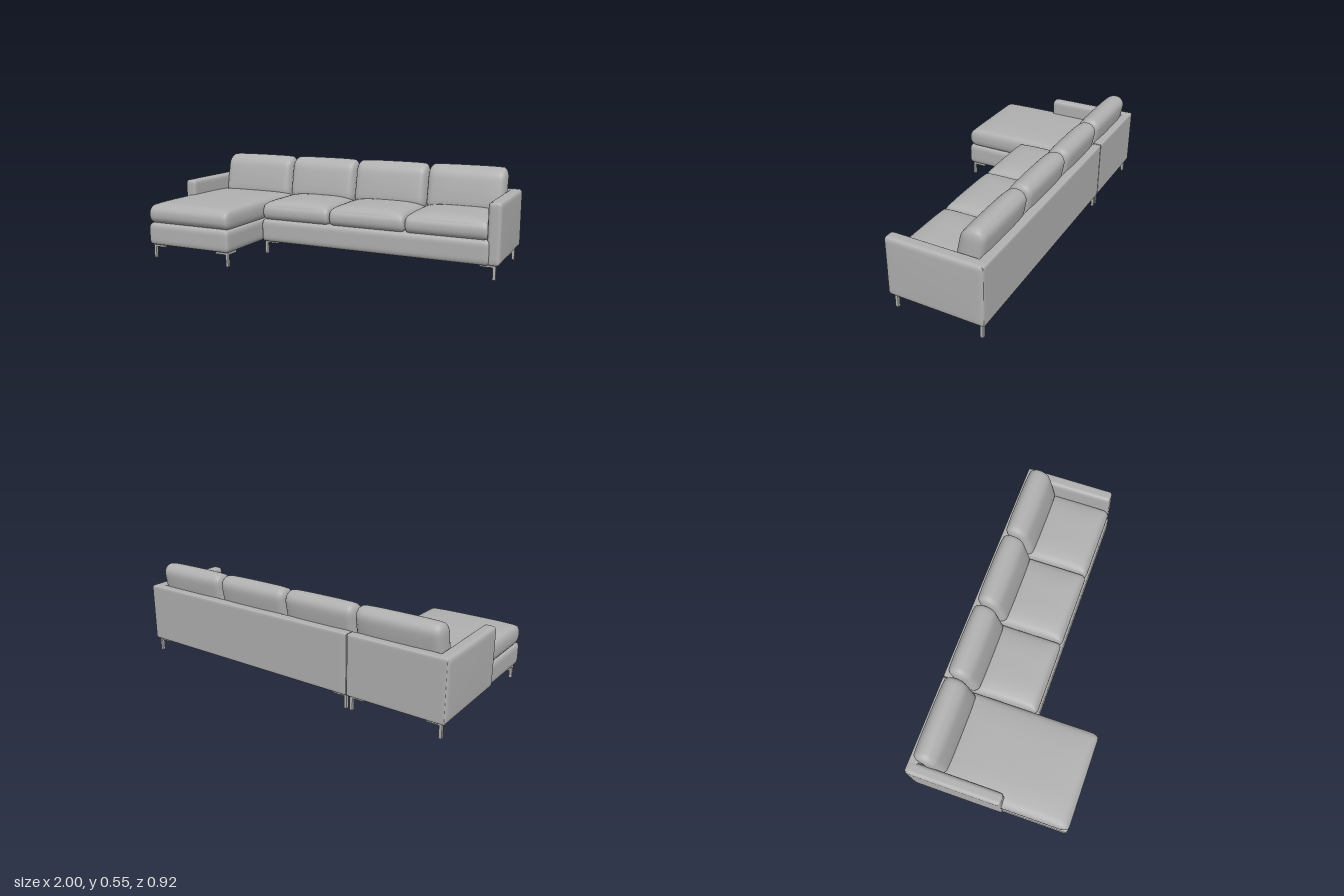
import * as THREE from 'three';
import { mergeVertices } from 'three/addons/utils/BufferGeometryUtils.js';

const upholstery = new THREE.MeshStandardMaterial({ color: 0xb0b0b0 });
upholstery.name = 'grey upholstery';

// Padded block: min/max corners, one rounding radius per axis, optional rule for crown or lean
function padded(name, min, max, radii, rule) {
  const n = 20;
  let geo = new THREE.BoxGeometry(2, 2, 2, n, n, n);
  geo.deleteAttribute('normal');
  geo.deleteAttribute('uv');
  geo = mergeVertices(geo);
  const pos = geo.attributes.position;
  for (let i = 0; i < pos.count; i++) {
    const unit = [pos.getX(i), pos.getY(i), pos.getZ(i)].map(t => Math.sin(t * Math.PI / 2));
    const inner = [], off = [];
    for (let a = 0; a < 3; a++) {
      const half = (max[a] - min[a]) / 2, core = half - radii[a];
      inner[a] = THREE.MathUtils.clamp(unit[a] * half, -core, core);
      off[a] = (unit[a] * half - inner[a]) / radii[a];
    }
    const len = Math.hypot(...off) || 1;
    const p = inner.map((q, a) => (min[a] + max[a]) / 2 + q + radii[a] * off[a] / len);
    if (rule) rule(p, unit);
    pos.setXYZ(i, ...p);
  }
  geo.computeVertexNormals();
  const mesh = new THREE.Mesh(geo, upholstery);
  mesh.name = name;
  return mesh;
}

// Seat crown: raises the top gently towards the middle
const crown = height => (p, [u, v, w]) => {
  if (v > 0) p[1] += height * v * (1 - u ** 4) * (1 - w ** 4);
};

// Back cushion: leans back and swells at the front and rear
const lean = (p, [u, v, w]) => {
  p[2] += -0.2 * (p[1] - 0.42) + 0.012 * w * (1 - u ** 4) * (1 - v * v);
  p[1] += v > 0 ? 0.006 * v * (1 - u ** 4) : 0;
};

// Corner foot: slim post under a gusseted angle bracket pointing inwards
function foot(x, z, sx, sz) {
  const group = new THREE.Group();
  group.name = 'foot';
  const outline = [[0, 0], [0.085, 0], [0.085, 0.014], [0.045, 0.016],
    [0.016, 0.045], [0.014, 0.085], [0, 0.085]];
  const shape = new THREE.Shape(outline.map(([a, b]) =>
    new THREE.Vector2((a - 0.008) * sx, (b - 0.008) * sz)));
  const plate = new THREE.ExtrudeGeometry(shape, { depth: 0.016, bevelEnabled: false });
  plate.rotateX(Math.PI / 2);
  const bracket = new THREE.Mesh(plate, upholstery);
  bracket.name = 'footBracket';
  bracket.position.y = 0.084;
  const post = new THREE.Mesh(new THREE.BoxGeometry(0.016, 0.08, 0.016), upholstery);
  post.name = 'footPost';
  post.position.y = 0.04;
  group.add(bracket, post);
  group.position.set(x, 0, z);
  return group;
}

export function createModel() {
  const sofa = new THREE.Group();
  sofa.name = 'sectionalSofa';

  // Bases
  sofa.add(
    padded('chaiseBase', [-0.99, 0.08, -0.45], [-0.436, 0.212, 0.458], [0.02, 0.035, 0.02]),
    padded('mainBase', [-0.434, 0.08, -0.45], [0.94, 0.215, 0.093], [0.012, 0.035, 0.02]));

  // Back panels, meeting at the joint between the two units
  for (const [x0, x1] of [[-0.99, -0.436], [-0.434, 0.99]]) {
    sofa.add(padded('backPanel', [x0, 0.08, -0.46], [x1, 0.418, -0.405], [0.006, 0.01, 0.01]));
  }

  // Arms
  for (const side of [-1, 1]) {
    const [x0, x1] = side < 0 ? [-0.997, -0.925] : [0.925, 0.997];
    sofa.add(padded('arm', [x0, 0.08, -0.46], [x1, 0.42, 0.082], [0.022, 0.022, 0.018],
      (p, [u, v, w]) => { p[0] += 0.003 * u * (1 - v * v) * (1 - w * w); }));
  }

  // Seat cushions
  sofa.add(padded('chaiseCushion', [-0.99, 0.208, -0.33], [-0.436, 0.318, 0.46],
    [0.025, 0.05, 0.05], crown(0.018)));
  for (const [x0, x1] of [[-0.434, 0.004], [0.006, 0.464], [0.466, 0.93]]) {
    sofa.add(padded('seatCushion', [x0, 0.212, -0.33], [x1, 0.308, 0.088],
      [0.02, 0.045, 0.035], crown(0.028)));
  }

  // Back cushions
  for (const [x0, x1] of [[-0.93, -0.444], [-0.44, 0.002], [0.006, 0.464], [0.468, 0.932]]) {
    sofa.add(padded('backCushion', [x0, 0.28, -0.405], [x1, 0.548, -0.281],
      [0.03, 0.06, 0.06], lean));
  }

  // Feet at the corners of both units
  for (const [x, sx, front] of [[-0.965, 1, 0.426], [-0.457, -1, 0.426],
    [-0.422, 1, 0.05], [0.965, -1, 0.05]]) {
    sofa.add(foot(x, front, sx, -1), foot(x, -0.436, sx, 1));
  }
  return sofa;
}
